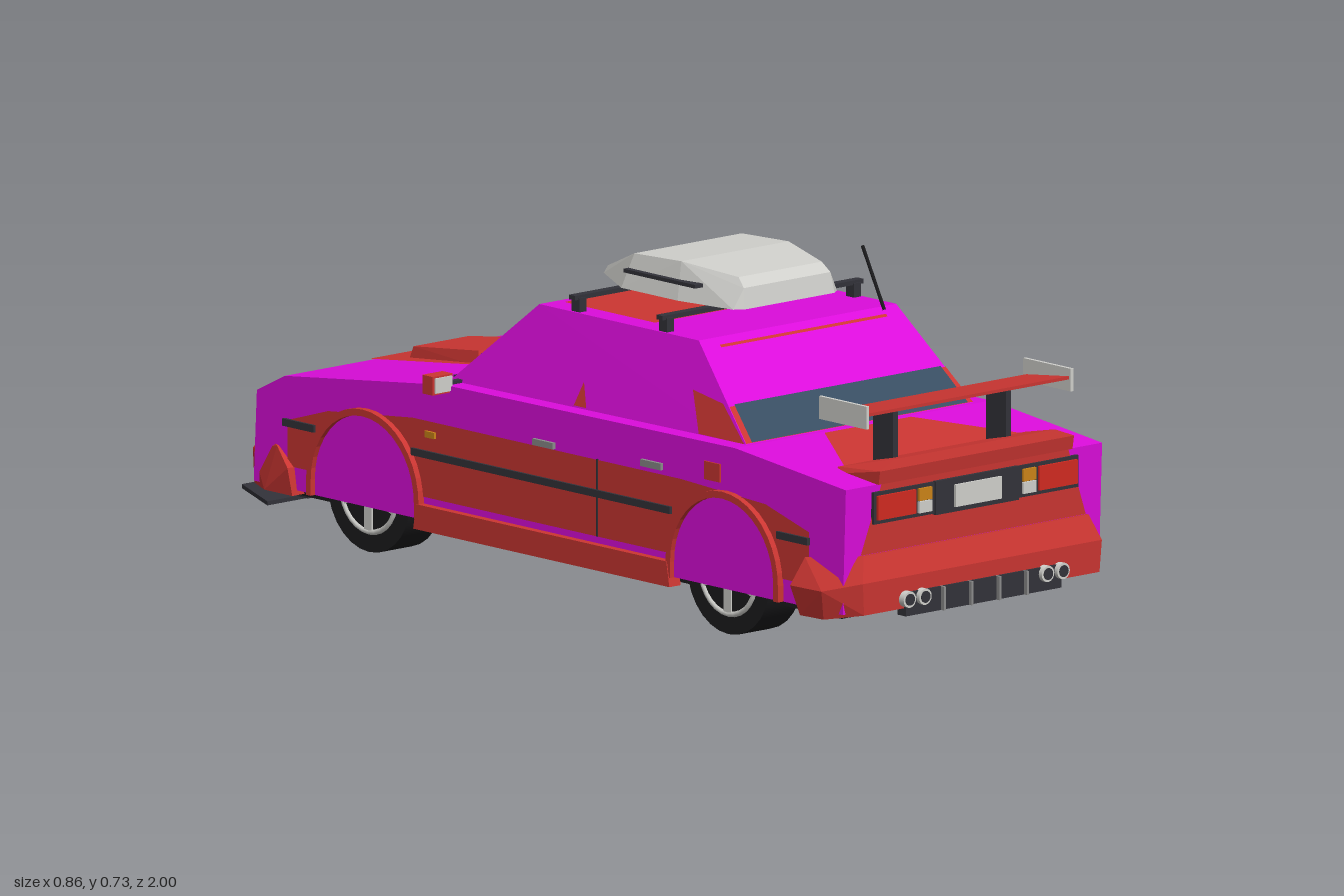
import * as THREE from 'three';
import { ConvexGeometry } from 'three/addons/geometries/ConvexGeometry.js';

const paint = (name, color) => {
  const m = new THREE.MeshStandardMaterial({ color });
  m.name = name;
  return m;
};

export function createModel() {
  const M = {
    magenta: paint('magenta paint', 0xdc0cdc),
    red: paint('red paint', 0xcc3632),
    glass: paint('window glass', 0x384e62),
    black: paint('tyre black', 0x1b1b1d),
    dark: paint('dark trim', 0x33333a),
    light: paint('light grey', 0xd0d0cc),
    grey: paint('mid grey', 0x8c8c8c),
    amber: paint('amber lens', 0xcc8418),
    lamp: paint('red lens', 0xd22a20),
  };
  const car = new THREE.Group();
  car.name = 'rallyCar';

  const add = (name, geo, mat) => {
    const mesh = new THREE.Mesh(geo, mat);
    mesh.name = name;
    car.add(mesh);
    return mesh;
  };
  // Box given by its extents on each axis
  const box = (name, mat, x0, x1, y0, y1, z0, z1) => add(name, new THREE.BoxGeometry(
    Math.abs(x1 - x0), y1 - y0, Math.abs(z1 - z0)).translate((x0 + x1) / 2, (y0 + y1) / 2, (z0 + z1) / 2), mat);
  // Faceted solid symmetric in x, from [half width, y, z] points
  const hull = (name, mat, pts) => add(name, new ConvexGeometry(
    pts.flatMap(([x, y, z]) => [new THREE.Vector3(x, y, z), new THREE.Vector3(-x, y, z)])), mat);
  // Side outline in [z, y], extruded across x
  const outline = (name, mat, pts, x0, x1) => {
    const shape = new THREE.Shape(pts.map(([z, y]) => new THREE.Vector2(-z, y)));
    const geo = new THREE.ExtrudeGeometry(shape, { depth: x1 - x0, bevelEnabled: false });
    return add(name, geo.rotateY(Math.PI / 2).translate(x0, 0, 0), mat);
  };
  // Flat convex painted face, lifted slightly along its outward direction
  const patch = (name, mat, pts, out, lift = 0.003) => {
    const v = pts.map(p => new THREE.Vector3(...p));
    const n = v[1].clone().sub(v[0]).cross(v[2].clone().sub(v[0])).normalize();
    if (n.dot(new THREE.Vector3(...out)) < 0) { v.reverse(); n.negate(); }
    v.forEach(p => p.addScaledVector(n, lift));
    const tris = [];
    for (let i = 1; i < v.length - 1; i++) tris.push(v[0], v[i], v[i + 1]);
    const geo = new THREE.BufferGeometry().setFromPoints(tris);
    geo.computeVertexNormals();
    return add(name, geo, mat);
  };
  const band = (z0, y0, w0, z1, y1, w1) => [[-w0, y0, z0], [w0, y0, z0], [w1, y1, z1], [-w1, y1, z1]];
  const rod = (name, mat, a, b, r) => {
    const path = new THREE.LineCurve3(new THREE.Vector3(...a), new THREE.Vector3(...b));
    return add(name, new THREE.TubeGeometry(path, 1, r, 6), mat);
  };
  const arc = (cz, cy, r, n = 20) => Array.from({ length: n + 1 }, (_, i) =>
    [cz + r * Math.cos(Math.PI * i / n), cy + r * Math.sin(Math.PI * i / n)]);
  const sides = [1, -1];

  // Body shell, cabin and floor
  outline('body', M.magenta, [[0.945, 0.1], [0.955, 0.375], [0.6, 0.412], [-0.33, 0.405],
    [-0.84, 0.345], [-0.93, 0.3], [-0.94, 0.1]], -0.37, 0.37);
  hull('cabin', M.magenta, [[0.33, 0.4, 0.6], [0.33, 0.395, -0.37], [0.285, 0.603, 0.39], [0.285, 0.603, -0.12]]);
  box('floor', M.black, -0.35, 0.35, 0.085, 0.102, -0.9, 0.92);

  // Painted panels on hood, roof, trunk and tail
  const hoodY = z => 0.405 + (z + 0.33) * 0.06 / 0.51;
  const deckY = z => 0.375 + (0.955 - z) * 0.037 / 0.355;
  patch('hoodPanel', M.red, band(-0.4, hoodY(-0.4), 0.125, -0.84, hoodY(-0.84), 0.125), [0, 1, 0]);
  patch('nosePanel', M.red, band(-0.84, 0.345, 0.125, -0.93, 0.3, 0.28), [0, 1, 0]);
  patch('roofPanel', M.red, band(-0.09, 0.603, 0.24, 0.2, 0.603, 0.24), [0, 1, 0]);
  patch('trunkPanel', M.red, band(0.615, deckY(0.615), 0.125, 0.83, deckY(0.83), 0.26), [0, 1, 0]);
  patch('tailPanel', M.red, band(0.955, 0.375, 0.27, 0.9495, 0.225, 0.325), [0, 0, 1]);
  patch('frontPanel', M.red, band(-0.93, 0.3, 0.28, -0.9355, 0.19, 0.32), [0, 0, -1]);

  // Rear window with red surround, and the high brake strip
  const backZ = y => 0.6 - (y - 0.4) * 0.21 / 0.203;
  const sideX = y => 0.33 - (y - 0.4) * 0.045 / 0.203;
  patch('rearPillars', M.red, band(backZ(0.412), 0.412, sideX(0.412), backZ(0.48), 0.48, sideX(0.48)), [0, 0, 1], 0.002);
  patch('rearWindow', M.glass, band(backZ(0.412), 0.412, 0.312, backZ(0.482), 0.482, 0.298), [0, 0, 1], 0.004);
  patch('brakeStrip', M.red, band(backZ(0.583), 0.583, 0.24, backZ(0.588), 0.588, 0.24), [0, 0, 1]);
  box('cowlTrim', M.dark, -0.3, 0.3, 0.395, 0.41, -0.378, -0.362);
  rod('wiper', M.black, [-0.17, 0.406, -0.395], [0.12, 0.408, -0.41], 0.005);

  // Hood scoop and trunk lip
  hull('hoodScoop', M.red, [[0.11, 0.38, -0.51], [0.085, 0.35, -0.76], [0.1, 0.412, -0.52], [0.08, 0.383, -0.75]]);
  box('scoopVent', M.dark, -0.1, 0.1, 0.388, 0.408, -0.512, -0.506);
  hull('trunkLip', M.red, [[0.28, 0.378, 0.82], [0.28, 0.375, 0.96], [0.27, 0.392, 0.82],
    [0.28, 0.405, 0.965], [0.23, 0.425, 0.96]]);

  // Rear wing
  outline('wing', M.red, [[0.8, 0.504], [0.937, 0.522], [0.937, 0.529], [0.8, 0.512]], -0.292, 0.292);

  // Bumpers and front splitter
  hull('rearBumper', M.red, [[0.39, 0.085, 0.83], [0.405, 0.15, 0.815], [0.375, 0.21, 0.83], [0.385, 0.085, 0.9],
    [0.4, 0.15, 0.91], [0.34, 0.1, 0.98], [0.345, 0.17, 0.982], [0.325, 0.225, 0.962]]);
  hull('frontBumper', M.red, [[0.385, 0.09, -0.8], [0.39, 0.15, -0.81], [0.375, 0.19, -0.86], [0.385, 0.09, -0.89],
    [0.35, 0.09, -0.96], [0.35, 0.165, -0.965], [0.33, 0.205, -0.945]]);
  hull('splitter', M.dark, [[0.43, 0.071, -0.83], [0.43, 0.08, -0.83], [0.415, 0.071, -0.86],
    [0.35, 0.071, -1], [0.35, 0.08, -1]]);
  box('splitterMount', M.dark, -0.34, 0.34, 0.078, 0.095, -0.95, -0.8);

  // Tail lamps, number plate and diffuser
  box('tailFrame', M.dark, -0.295, 0.295, 0.29, 0.36, 0.95, 0.962);
  box('plateRecess', M.dark, -0.12, 0.12, 0.287, 0.361, 0.95, 0.966);
  box('rearPlate', M.light, -0.067, 0.067, 0.298, 0.347, 0.964, 0.971);
  box('diffuser', M.dark, -0.225, 0.225, 0.083, 0.135, 0.96, 0.986);
  for (const x of [-0.12, -0.04, 0.04, 0.12]) box('diffuserFin', M.grey, x - 0.003, x + 0.003, 0.083, 0.135, 0.98, 0.995);

  // Grille and front plate
  box('grille', M.dark, -0.29, 0.29, 0.21, 0.28, -0.945, -0.93);
  for (const y of [0.225, 0.245, 0.265]) box('grilleBar', M.black, -0.14, 0.14, y - 0.004, y + 0.004, -0.95, -0.94);
  box('frontPlate', M.light, -0.075, 0.075, 0.13, 0.17, -0.971, -0.96);

  // Roof box on its two bars
  hull('roofBox', M.light, [[0.13, 0.645, 0.365], [0.15, 0.645, 0.35], [0.125, 0.69, 0.357], [0.175, 0.645, 0.2],
    [0.175, 0.645, 0.02], [0.12, 0.71, 0.335], [0.155, 0.727, 0.19], [0.155, 0.721, 0.04],
    [0.125, 0.672, -0.078], [0.13, 0.655, -0.086], [0.13, 0.645, -0.03]]);
  for (const z of [0.27, -0.01]) {
    box('roofBar', M.dark, -0.29, 0.29, 0.63, 0.64, z - 0.01, z + 0.01);
    for (const s of sides) box('roofBarFoot', M.dark, s * 0.26, s * 0.28, 0.6, 0.634, z - 0.013, z + 0.013);
  }
  rod('antenna', M.black, [0.233, 0.6, 0.41], [0.233, 0.73, 0.34], 0.004);

  // Everything that repeats left and right
  for (const s of sides) {
    const plate = (name, mat, pts, x) => patch(name, mat, pts.map(([z, y]) => [s * x, y, z]), [s, 0, 0], 0.002);
    const strip = (name, mat, z0, z1, y0, y1, x0 = 0.368, x1 = 0.378) => box(name, mat, s * x0, s * x1, y0, y1, z0, z1);
    const slab = (name, mat, pts, x0, x1) => outline(name, mat, pts, s > 0 ? x0 : -x1, s > 0 ? x1 : -x0);

    // Side paint, skirt, mouldings and handles
    plate('sidePanel', M.red, [[0.84, 0.15], [0.84, 0.265], [0.7, 0.305], [0.43, 0.318], [-0.43, 0.318],
      [-0.7, 0.29], [-0.83, 0.25], [-0.83, 0.15]], 0.37);
    slab('sideSkirt', M.red, [[0.41, 0.08], [0.4, 0.135], [-0.4, 0.135], [-0.41, 0.08]], 0.355, 0.388);
    strip('doorMoulding', M.dark, -0.43, 0.4, 0.237, 0.253);
    strip('rearMoulding', M.dark, 0.74, 0.84, 0.237, 0.253);
    strip('frontMoulding', M.dark, -0.84, -0.74, 0.237, 0.253);
    strip('doorSeam', M.dark, 0.16, 0.164, 0.15, 0.32, 0.368, 0.374);
    strip('rearHandle', M.grey, 0.305, 0.37, 0.328, 0.343);
    strip('frontHandle', M.grey, -0.04, 0.025, 0.32, 0.334);
    strip('sideMarker', M.amber, -0.385, -0.355, 0.283, 0.297);
    strip('fuelFlap', M.red, 0.505, 0.555, 0.33, 0.37, 0.368, 0.374);

    // Red marks on the cabin sides
    const mark = (name, pts) => patch(name, M.red, pts.map(([z, y]) => [s * sideX(y), y, z]), [s, 0, 0]);
    mark('quarterPanel', [[0.585, 0.412], [0.5, 0.485], [0.4, 0.5], [0.44, 0.412]]);
    mark('doorPillar', [[0.08, 0.412], [0.06, 0.465], [0.04, 0.412]]);

    for (const cz of [0.575, -0.575]) {
      // Filled arch with a raised flare around it
      plate('archCover', M.magenta, [[cz + 0.165, 0.1], ...arc(cz, 0.135, 0.165), [cz - 0.165, 0.1]], 0.372);
      slab('wheelFlare', M.red, [[cz + 0.18, 0.1], ...arc(cz, 0.135, 0.18), [cz - 0.18, 0.1],
        [cz - 0.165, 0.1], ...arc(cz, 0.135, 0.165).reverse(), [cz + 0.165, 0.1]], 0.36, 0.386);

      // Wheel with five spokes
      const wheel = new THREE.Group();
      wheel.name = 'wheel';
      const part = (name, geo, mat) => {
        const m = new THREE.Mesh(geo, mat);
        m.name = name;
        wheel.add(m);
      };
      part('tyre', new THREE.CylinderGeometry(0.132, 0.132, 0.095, 28).rotateZ(Math.PI / 2), M.black);
      part('rimRing', new THREE.TorusGeometry(0.088, 0.007, 6, 28).rotateY(Math.PI / 2).translate(s * 0.046, 0, 0), M.light);
      part('hub', new THREE.CylinderGeometry(0.022, 0.022, 0.01, 12).rotateZ(Math.PI / 2).translate(s * 0.048, 0, 0), M.light);
      for (let i = 0; i < 5; i++) part('spoke', new THREE.BoxGeometry(0.008, 0.075, 0.024)
        .translate(s * 0.047, 0.048, 0).rotateX(i * Math.PI * 0.4 + Math.PI / 5), M.light);
      wheel.position.set(s * 0.319, 0.132, cz);
      car.add(wheel);
    }

    // Wing supports and end plates
    box('wingStrut', M.dark, s * 0.156, s * 0.17, 0.385, 0.512, 0.82, 0.885);
    box('wingEndPlate', M.light, s * 0.291, s * 0.299, 0.496, 0.546, 0.79, 0.942);

    // Mirror
    box('mirrorArm', M.dark, s * 0.32, s * 0.37, 0.4, 0.412, -0.335, -0.32);
    box('mirrorShell', M.red, s * 0.362, s * 0.42, 0.391, 0.432, -0.345, -0.312);
    box('mirrorGlass', M.light, s * 0.367, s * 0.415, 0.395, 0.428, -0.314, -0.308);

    // Lamps
    box('tailLamp', M.lamp, s * 0.178, s * 0.288, 0.299, 0.352, 0.96, 0.968);
    box('tailIndicator', M.amber, s * 0.132, s * 0.169, 0.325, 0.352, 0.96, 0.968);
    box('reverseLamp', M.light, s * 0.132, s * 0.169, 0.298, 0.323, 0.96, 0.968);
    box('headlamp', M.light, s * 0.155, s * 0.282, 0.218, 0.273, -0.955, -0.94);
    box('frontIndicator', M.amber, s * 0.24, s * 0.3, 0.138, 0.16, -0.969, -0.955);

    // Twin exhaust pipes
    for (const x of [0.177, 0.222]) {
      const pipe = (name, r, z, mat) => add(name, new THREE.CylinderGeometry(r, r, 0.04, 16)
        .rotateX(Math.PI / 2).translate(s * x, 0.121, z), mat);
      pipe('exhaustPipe', 0.018, 0.976, M.light);
      pipe('exhaustBore', 0.013, 0.978, M.dark);
    }

    // Roof box side strip
    box('roofBoxStrip', M.dark, s * 0.155, s * 0.178, 0.681, 0.689, 0.03, 0.26);
  }
  return car;
}
